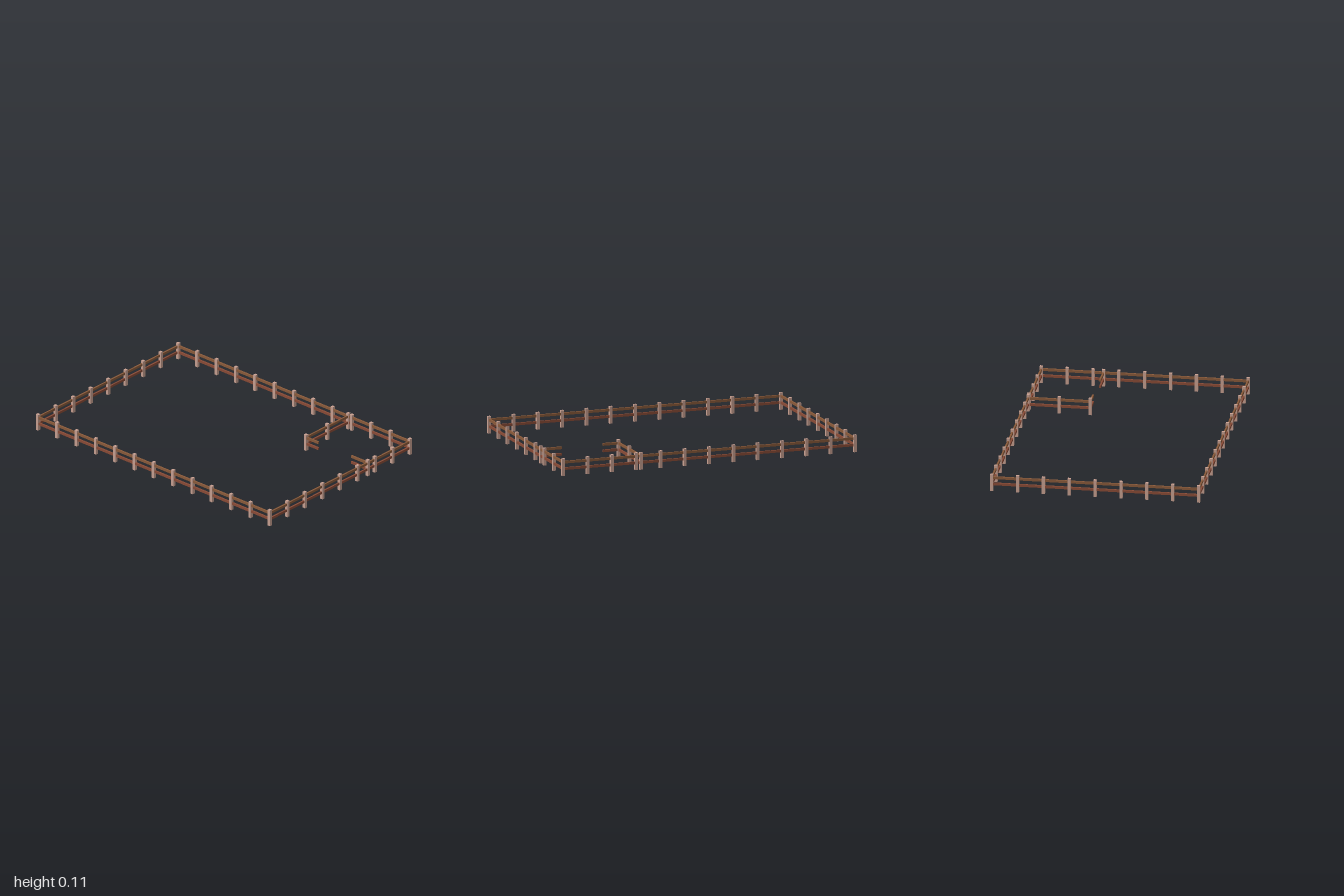
import * as THREE from 'three';

const POST_W = 0.02, POST_H = 0.112;
const RAIL_H = 0.016, RAIL_T = 0.011;
const X = 0.99, Z = 0.665;        // outer fence post lines
const PEN_X = 0.463, PEN_Z = -0.265; // inner pen corner

function wood(name, color) {
  const material = new THREE.MeshStandardMaterial({ color });
  material.name = name;
  return material;
}

export function createModel() {
  const model = new THREE.Group();
  model.name = 'paddockFence';

  const postWood = wood('pale post wood', 0xc8a091);
  const rails = [
    { name: 'lowerRail', y: 0.046, material: wood('red brown rail wood', 0x8a4b36) },
    { name: 'upperRail', y: 0.088, material: wood('brown rail wood', 0x8a5a3a) },
  ];

  const postGeometry = new THREE.BoxGeometry(POST_W, POST_H, POST_W);

  function addPost(group, x, z) {
    const post = new THREE.Mesh(postGeometry, postWood);
    post.name = 'post';
    post.position.set(x, POST_H / 2, z);
    group.add(post);
  }

  // Two rails between two points, along x or z
  function addRails(group, x0, z0, x1, z1) {
    const dx = Math.abs(x1 - x0), dz = Math.abs(z1 - z0);
    const geometry = new THREE.BoxGeometry(dx || RAIL_T, RAIL_H, dz || RAIL_T);
    for (const { name, y, material } of rails) {
      const rail = new THREE.Mesh(geometry, material);
      rail.name = name;
      rail.position.set((x0 + x1) / 2, y, (z0 + z1) / 2);
      group.add(rail);
    }
  }

  // A run of fence: rails plus evenly spaced posts, the last post left to the next run
  function addRun(name, x0, z0, x1, z1, bays) {
    const run = new THREE.Group();
    run.name = name;
    addRails(run, x0, z0, x1, z1);
    for (let i = 0; i < bays; i++) {
      const t = i / bays;
      addPost(run, x0 + (x1 - x0) * t, z0 + (z1 - z0) * t);
    }
    model.add(run);
  }

  // Outer fence
  addRun('frontFence', -X, Z, X, Z, 12);
  addRun('leftFence', X, Z, X, -Z, 8);
  addRun('backFence', X, -Z, -X, -Z, 12);
  addRun('rightFence', -X, -Z, -X, Z, 8);

  // Inner pen with an open gateway
  addRun('penSide', PEN_X, -Z, PEN_X, PEN_Z, 2);
  const gateway = new THREE.Group();
  gateway.name = 'penGateway';
  addPost(gateway, PEN_X, PEN_Z);
  addPost(gateway, X, PEN_Z);
  addRails(gateway, PEN_X, PEN_Z, 0.57, PEN_Z);
  addRails(gateway, 0.85, PEN_Z, X, PEN_Z);
  model.add(gateway);

  return model;
}
